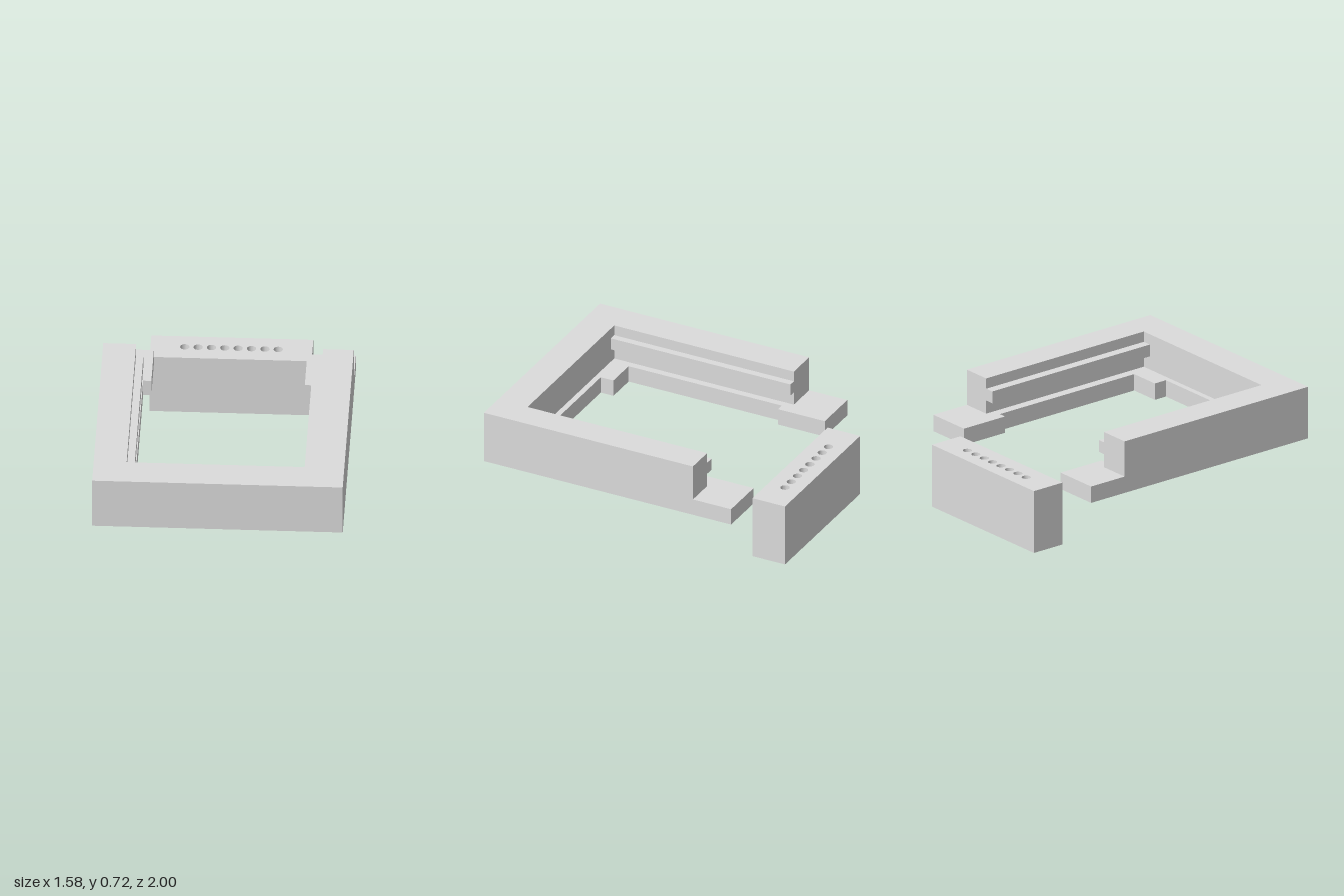
import * as THREE from 'three';

const grey = new THREE.MeshStandardMaterial({ color: 0xdcdcdc });
grey.name = 'light grey';

// Vertical prism from a plan outline of [x, z] points between two heights
function prism(name, points, y0, y1, holes = []) {
  const shape = new THREE.Shape(points.map(([x, z]) => new THREE.Vector2(x, -z)));
  shape.holes = holes;
  const geo = new THREE.ExtrudeGeometry(shape, { depth: y1 - y0, bevelEnabled: false, curveSegments: 24 });
  geo.rotateX(-Math.PI / 2);
  geo.translate(0, y0, 0);
  const mesh = new THREE.Mesh(geo, grey);
  mesh.name = name;
  return mesh;
}

// One half of the U-shaped frame; s is the side, inner the wall's inside face
function frameHalf(name, s, inner) {
  const half = new THREE.Group();
  half.name = name;
  const side = (pts) => pts.map(([x, z]) => [x * s, z]);

  // base layer: back tab, side lip, corner pad and front lip
  half.add(prism('baseLedge', side([
    [0, 1], [0.792, 1], [0.792, -0.762], [0.485, -0.762], [0.485, -0.428], [0.537, -0.428],
    [0.537, 0.663], [0.33, 0.663], [0.33, 0.753], [0, 0.753],
  ]), 0.367, 0.478));

  // tall wall: side arm and half of the front
  half.add(prism('wall', side([
    [0, 1], [0.792, 1], [0.792, -0.49], [inner, -0.49], [inner, 0.79], [0, 0.79],
  ]), 0.478, 0.717));

  // guide rail along the inside of the arm, above the slot
  half.add(prism('guideRail', side([
    [inner, 0.79], [inner, -0.49], [0.537, -0.49], [0.537, 0.79],
  ]), 0.567, 0.647));
  return half;
}

export function createModel() {
  const model = new THREE.Group();
  model.name = 'slottedFrame';
  model.add(frameHalf('leftFrameHalf', 1, 0.598));
  model.add(frameHalf('rightFrameHalf', -1, 0.584));

  // separate rear block with a row of eight through holes
  const holes = [];
  for (let i = 0; i < 8; i++) {
    const hole = new THREE.Path();
    hole.absarc((i - 3.5) * 0.0844, 0.887, 0.029, 0, Math.PI * 2, true);
    holes.push(hole);
  }
  model.add(prism('rearBlock', [
    [-0.512, -1], [-0.512, -0.768], [0.512, -0.768], [0.512, -1],
  ], 0, 0.42, holes));
  return model;
}
